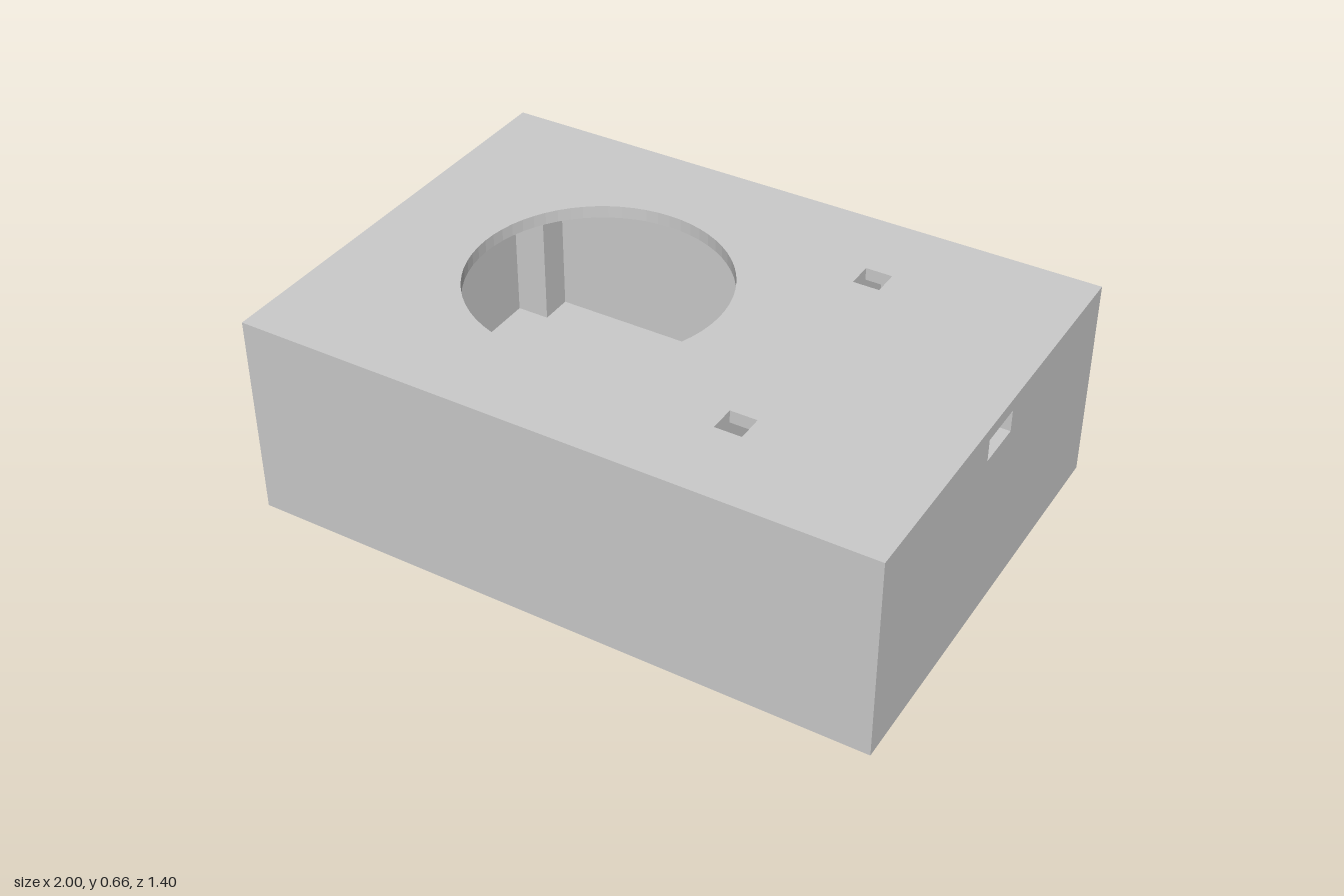
import * as THREE from 'three';

// Main dimensions
const L = 1, W = 0.7, H = 0.66;          // half length, half width, height
const T = 0.09, P = 0.11;                // wall thickness, corner post size
const FLOOR = 0.04, CEIL = 0.62;         // inner floor and underside of the lid
const ix = L - T, iw = W - T;            // inner half sizes
const divider = [0.31, 0.35];            // partition between the two bays
const slot = { w: 0.076, y0: 0.55, y1: CEIL };

const rect = (x0, y0, x1, y1) => [[x0, y0], [x1, y0], [x1, y1], [x0, y1]];
const circle = (cx, cy, r, n = 64) => Array.from({ length: n }, (_, i) => {
  const a = (i / n) * Math.PI * 2;
  return [cx + r * Math.cos(a), cy + r * Math.sin(a)];
});
const vecs = pts => pts.map(([x, y]) => new THREE.Vector2(x, y));

export function createModel() {
  const group = new THREE.Group();
  const material = new THREE.MeshStandardMaterial({ color: 0xcccccc });

  const lay = g => g.rotateX(-Math.PI / 2);   // plan (x, -z) to horizontal
  const turn = g => g.rotateY(Math.PI / 2);   // elevation (-z, y) facing +x

  function add(name, geometry) {
    const mesh = new THREE.Mesh(geometry, material);
    mesh.name = name;
    group.add(mesh);
  }

  // Flat face with cut-outs at a given depth; flip turns it to face backwards
  function panel(outline, holes, depth, flip = false) {
    const shape = new THREE.Shape(vecs(outline));
    shape.holes = holes.map(h => new THREE.Path(vecs(h)));
    const g = new THREE.ShapeGeometry(shape).translate(0, 0, depth);
    if (flip) {
      const idx = g.index.array;
      for (let i = 0; i < idx.length; i += 3) [idx[i], idx[i + 1]] = [idx[i + 1], idx[i]];
      g.computeVertexNormals();
    }
    return g;
  }

  // Walls along an outline between two depths; inward makes them face its inside
  function band(outline, d0, d1, inward = true, closed = true) {
    const pts = inward ? [...outline].reverse() : outline;
    const pos = [];
    for (let i = 0; i < pts.length - (closed ? 0 : 1); i++) {
      const [ax, ay] = pts[i], [bx, by] = pts[(i + 1) % pts.length];
      pos.push(ax, ay, d0, bx, by, d0, bx, by, d1, ax, ay, d0, bx, by, d1, ax, ay, d1);
    }
    const g = new THREE.BufferGeometry();
    g.setAttribute('position', new THREE.Float32BufferAttribute(pos, 3));
    g.computeVertexNormals();
    return g;
  }

  // Openings in the lid
  const round = circle(-0.263, 0, 0.397);
  const squares = [-1, 1].map(s => rect(0.375, s * 0.4 - 0.042, 0.459, s * 0.4 + 0.042));
  const plan = rect(-L, -W, L, W);

  // Outer shell
  add('lidTop', lay(panel(plan, [round, ...squares], H)));
  add('baseBottom', lay(panel(plan, [], 0, true)));
  add('outerWalls', lay(band([[L, W], [-L, W], [-L, -W], [L, -W]], 0, H, false, false)));
  const slotRect = rect(-slot.w, slot.y0, slot.w, slot.y1);
  add('slottedEndWall', turn(panel(rect(-W, 0, W, H), [slotRect], L)));

  // Edges of the openings
  add('roundOpening', lay(band(round, CEIL, H)));
  squares.forEach(s => add('squareOpening', lay(band(s, CEIL, H))));
  add('sideSlot', turn(band(slotRect, ix, L)));

  // Large bay under the round opening, with posts in its two outer corners
  const px = ix - P, pw = iw - P;
  const bigBay = [[-px, -iw], [divider[0], -iw], [divider[0], iw], [-px, iw],
    [-px, pw], [-ix, pw], [-ix, -pw], [-px, -pw]];
  add('largeBayWalls', lay(band(bigBay, FLOOR, CEIL)));

  // Small bay behind the slot, also with corner posts
  const smallBay = [[ix, pw], [px, pw], [px, iw], [divider[1], iw],
    [divider[1], -iw], [px, -iw], [px, -pw], [ix, -pw]];
  add('smallBayWalls', lay(band(smallBay, FLOOR, CEIL, true, false)));
  const notched = [[-pw, FLOOR], [pw, FLOOR], [pw, CEIL], [slot.w, CEIL], [slot.w, slot.y0],
    [-slot.w, slot.y0], [-slot.w, CEIL], [-pw, CEIL]];
  add('smallBayEndWall', turn(panel(notched, [], ix, true)));

  // Floors and lid undersides of both bays
  [[bigBay, [round]], [smallBay, squares]].forEach(([bay, holes]) => {
    add('bayFloor', lay(panel(bay, [], FLOOR)));
    add('lidUnderside', lay(panel(bay, holes, CEIL, true)));
  });

  return group;
}
